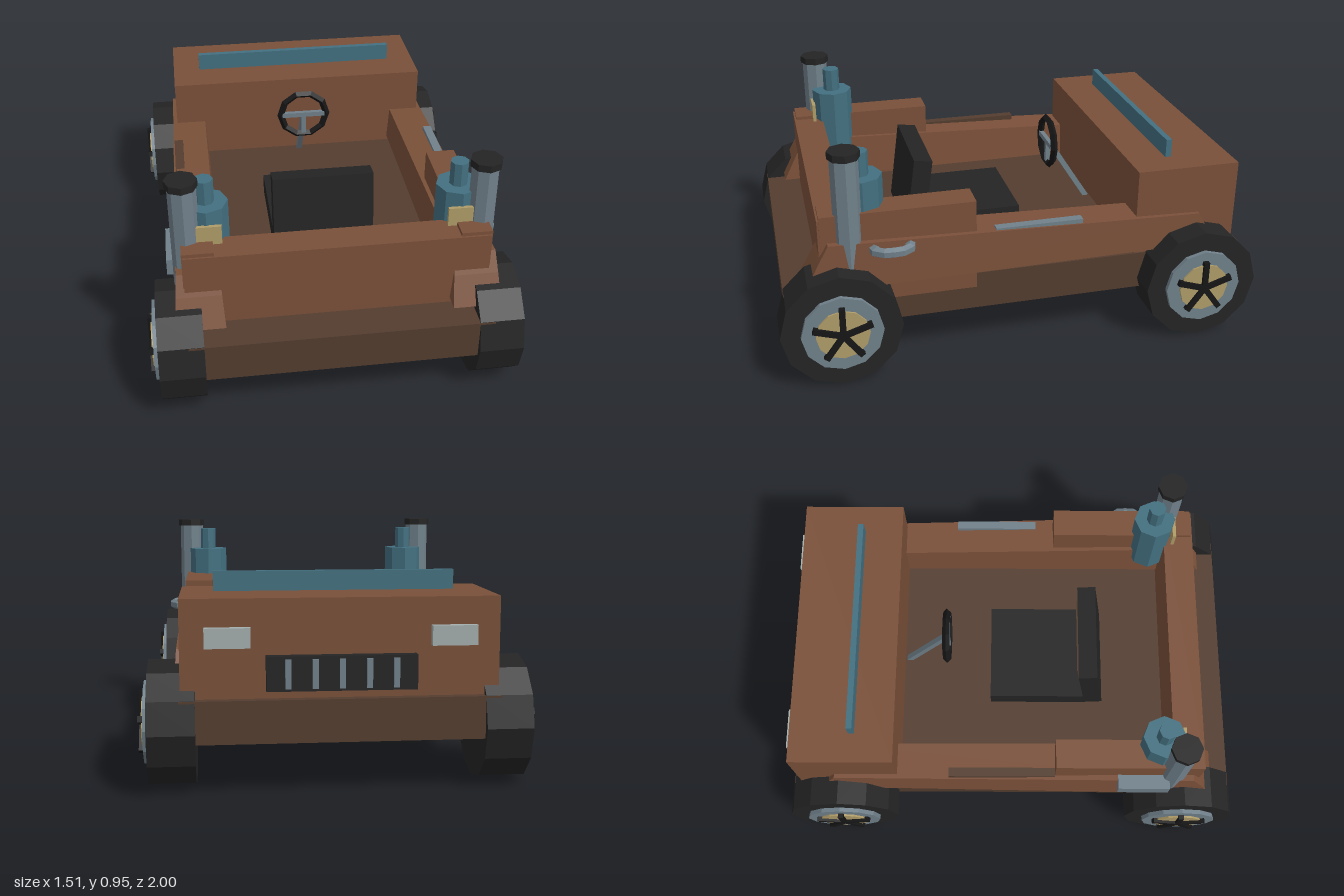
import * as THREE from 'three';

const paint = (name, color) => Object.assign(new THREE.MeshStandardMaterial({ color }), { name });

export function createModel() {
  const car = new THREE.Group();
  car.name = 'openBuggy';
  const brown = paint('rustBrown', 0x7a5039);
  const dark = paint('darkBrown', 0x543d2f);
  const black = paint('rubberBlack', 0x242424);
  const trim = paint('trimBlack', 0x161616);
  const steel = paint('steelGrey', 0x70808a);
  const teal = paint('teal', 0x437080);
  const tan = paint('tan', 0xb09c68);
  const lamp = paint('lampGrey', 0xa3aeac);

  // Adds a faceted mesh
  function add(name, geometry, material, x = 0, y = 0, z = 0, parent = car) {
    const g = geometry.index ? geometry.toNonIndexed() : geometry;
    g.computeVertexNormals();
    const mesh = new THREE.Mesh(g, material);
    mesh.name = name;
    mesh.position.set(x, y, z);
    parent.add(mesh);
    return mesh;
  }
  // Box given by its limits on each axis
  const block = (name, material, [x0, x1], [y0, y1], [z0, z1], parent) => add(name,
    new THREE.BoxGeometry(x1 - x0, y1 - y0, z1 - z0), material,
    (x0 + x1) / 2, (y0 + y1) / 2, (z0 + z1) / 2, parent);
  // Upright prism between two heights
  const post = (name, material, r, sides, x, y0, y1, z) => add(name,
    new THREE.CylinderGeometry(r, r, y1 - y0, sides), material, x, (y0 + y1) / 2, z);
  // Range on one side of the car, mirrored by sign
  const span = (s, a, b) => (s > 0 ? [a, b] : [-b, -a]);

  // Chassis, engine box and tail wall
  block('chassis', dark, [-0.6, 0.6], [0.2, 0.363], [-0.97, 0.97]);
  block('hood', brown, [-0.595, 0.595], [0.363, 0.735], [-0.935, -0.495]);
  block('tailWall', brown, [-0.6, 0.6], [0.363, 0.675], [0.69, 0.82]);
  block('windshield', teal, [-0.47, 0.47], [0.73, 0.812], [-0.685, -0.66]);

  // Grille and headlights
  block('grille', black, [-0.28, 0.28], [0.395, 0.525], [-0.975, -0.93]);
  for (let i = -2; i <= 2; i++) {
    block('grilleSlat', steel, [i * 0.1 - 0.011, i * 0.1 + 0.011], [0.405, 0.515], [-0.984, -0.974]);
  }

  // Side panel: extruded side profile, leaning and tapering towards the hood
  function sidePanel(s) {
    const shape = new THREE.Shape([[0.89, 0.385], [0.83, 0.5], [0.785, 0.578], [-0.77, 0.525], [-0.85, 0.385]]
      .map(([z, y]) => new THREE.Vector2(z, y)));
    const g = new THREE.ExtrudeGeometry(shape, { depth: 1, bevelEnabled: false });
    g.rotateY(-Math.PI / 2);
    const p = g.attributes.position;
    for (let i = 0; i < p.count; i++) {
      const lean = (p.getY(i) - 0.385) / 0.19;
      const isOuter = (p.getX(i) > -0.5) === (s > 0);
      const outer = 0.626 + 0.014 * p.getZ(i) - 0.012 * lean;
      p.setX(i, s * (isOuter ? outer + 0.006 : 0.45 + 0.013 * lean));
    }
    add('sidePanel', g, brown);
  }

  // Wheel with rim, hub disc and five spokes
  function wheel(s, z) {
    const group = new THREE.Group();
    group.name = 'wheel';
    group.position.set(0, 0.243, z);
    car.add(group);
    const disc = (name, mat, r, x0, x1, sides) => add(name,
      new THREE.CylinderGeometry(r, r, x1 - x0, sides).rotateZ(Math.PI / 2), mat, s * (x0 + x1) / 2, 0, 0, group);
    disc('tyre', black, 0.243, 0.54, 0.718, 12);
    disc('rim', steel, 0.163, 0.7, 0.736, 12);
    disc('hubDisc', tan, 0.107, 0.72, 0.744, 12);
    for (let i = 0; i < 5; i++) {
      const spoke = add('spoke', new THREE.BoxGeometry(0.024, 0.122, 0.024).translate(0, 0.061, 0),
        trim, s * 0.744, 0, 0, group);
      spoke.rotation.x = i * Math.PI * 2 / 5;
    }
  }

  for (const s of [1, -1]) {
    sidePanel(s);
    wheel(s, 0.757);
    wheel(s, -0.757);
    block('sideBox', brown, span(s, 0.48, 0.604), [0.3, 0.69], [0.19, 0.812]);
    block('headlight', lamp, span(s, 0.335, 0.505), [0.555, 0.63], [-0.965, -0.93]);
    // Canister, exhaust stack and tail lamp
    post('canister', teal, 0.09, 8, s * 0.5, 0.5, 0.812, 0.635);
    post('canisterNeck', teal, 0.037, 8, s * 0.5, 0.8, 0.912, 0.635);
    post('exhaustStack', steel, 0.056, 8, s * 0.584, 0.42, 0.935, 0.7);
    post('exhaustCap', black, 0.064, 8, s * 0.586, 0.925, 0.955, 0.7);
    block('tailLamp', tan, span(s, 0.443, 0.555), [0.67, 0.755], [0.72, 0.735]);
  }

  // Fittings that differ from side to side
  block('sillStripGrey', steel, [0.575, 0.612], [0.53, 0.562], [-0.255, 0.11]);
  block('sillStripBrown', dark, [-0.612, -0.573], [0.53, 0.566], [-0.27, 0.19]);
  block('sidePlate', steel, [-0.665, -0.6], [0.505, 0.575], [0.46, 0.68]);
  const handlePath = new THREE.CatmullRomCurve3([[0.615, 0.46], [0.66, 0.475], [0.672, 0.535], [0.66, 0.595], [0.615, 0.61]]
    .map(([x, z]) => new THREE.Vector3(x, 0.542, z)));
  add('sideHandle', new THREE.TubeGeometry(handlePath, 6, 0.022, 6), steel);

  // Seat with a back tipped slightly forward
  block('seatCushion', black, [-0.213, 0.213], [0.36, 0.45], [-0.095, 0.34]);
  const back = new THREE.Group();
  back.name = 'seatBack';
  back.position.set(0, 0.541, 0.352);
  back.rotation.x = -0.13;
  car.add(back);
  block('backRest', black, [-0.213, 0.213], [-0.17, 0.17], [-0.04, 0.04], back);
  block('backPad', dark, [-0.165, 0.165], [-0.06, 0.135], [-0.049, -0.04], back);

  // Steering wheel and column
  add('steeringWheel', new THREE.TorusGeometry(0.108, 0.016, 4, 10), trim, 0, 0.656, -0.285);
  block('steeringBar', steel, [-0.1, 0.1], [0.645, 0.667], [-0.295, -0.275]);
  block('steeringSpoke', steel, [-0.011, 0.011], [0.556, 0.656], [-0.295, -0.275]);
  const column = add('steeringColumn', new THREE.BoxGeometry(0.024, 0.35, 0.024), steel, 0, 0.508, -0.383);
  column.rotation.x = Math.atan2(0.19, 0.295);

  return car;
}
